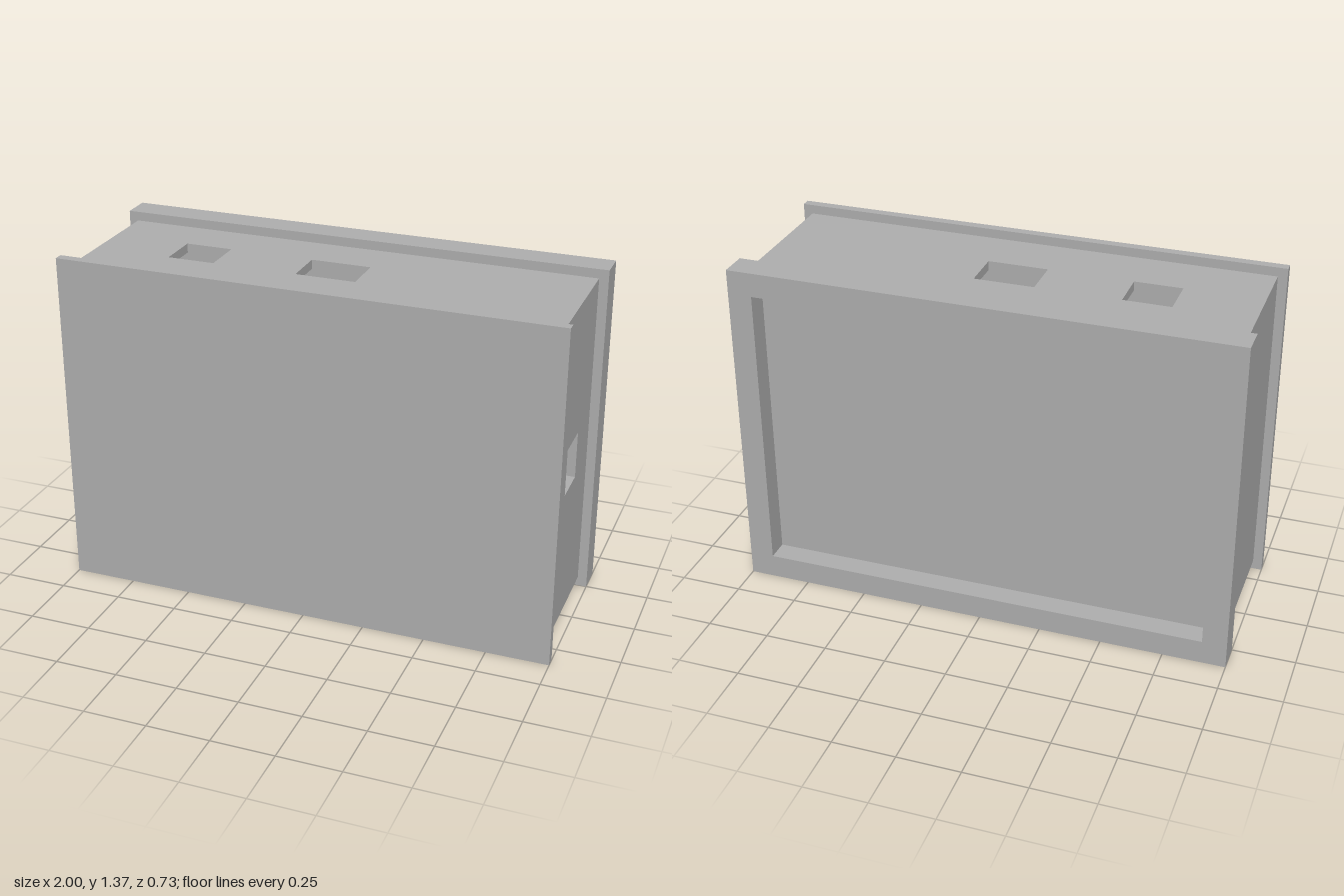
import * as THREE from 'three';

const W = 2, H = 1.37, Z = 0.365;      // overall width, height, half depth
const STEP = 0.037;                    // wall thickness, and inset of the body from the flanges
const FRONT = 0.328, BACK = -0.249;    // ends of the body along z
const RECESS = 0.09, BORDER = 0.097;   // back frame recess

// Rectangle with rectangular holes, each given as [u0, v0, u1, v1], extruded by depth
function panel(outer, holes, depth) {
  const corners = ([a, b, c, d]) => [[a, b], [c, b], [c, d], [a, d]].map(p => new THREE.Vector2(...p));
  const shape = new THREE.Shape(corners(outer));
  for (const h of holes) shape.holes.push(new THREE.Path(corners(h).reverse()));
  return new THREE.ExtrudeGeometry(shape, { depth, bevelEnabled: false });
}

export function createModel() {
  const group = new THREE.Group();
  const grey = new THREE.MeshStandardMaterial({ color: 0xb0b0b0 });
  grey.name = 'grey';
  const add = (name, geometry) => {
    const mesh = new THREE.Mesh(geometry, grey);
    mesh.name = name;
    group.add(mesh);
  };

  // Front plate and recessed back
  const full = [-W / 2, 0, W / 2, H];
  const opening = [-W / 2 + BORDER, BORDER, W / 2 - BORDER, H - BORDER];
  const panelZ = -Z + RECESS;
  add('frontPlate', panel(full, [], Z - FRONT).translate(0, 0, FRONT));
  add('backFrame', panel(full, [opening], RECESS).translate(0, 0, -Z));
  add('backPanel', panel(full, [], BACK - panelZ).translate(0, 0, panelZ));

  // Top and bottom walls, drawn in (x, -z) and laid flat
  const x = W / 2 - STEP;
  const flat = [-x, -FRONT, x, -BACK];
  const topHoles = [[-0.65, -0.11, -0.46, 0.06], [-0.12, -0.11, 0.12, 0.06]];
  const bottomHoles = [[-0.56, -0.243, -0.08, 0.235]];
  add('topWall', panel(flat, topHoles, STEP).rotateX(-Math.PI / 2).translate(0, H - 2 * STEP, 0));
  add('bottomWall', panel(flat, bottomHoles, STEP).rotateX(-Math.PI / 2).translate(0, STEP, 0));

  // Side walls, drawn in (-z, y); only the left one has a port
  const side = [-FRONT, 2 * STEP, -BACK, H - 2 * STEP];
  const port = [-0.11, 0.59, 0.055, 0.78];
  add('leftWall', panel(side, [port], STEP).rotateY(Math.PI / 2).translate(x - STEP, 0, 0));
  add('rightWall', panel(side, [], STEP).rotateY(Math.PI / 2).translate(-x, 0, 0));

  return group;
}
